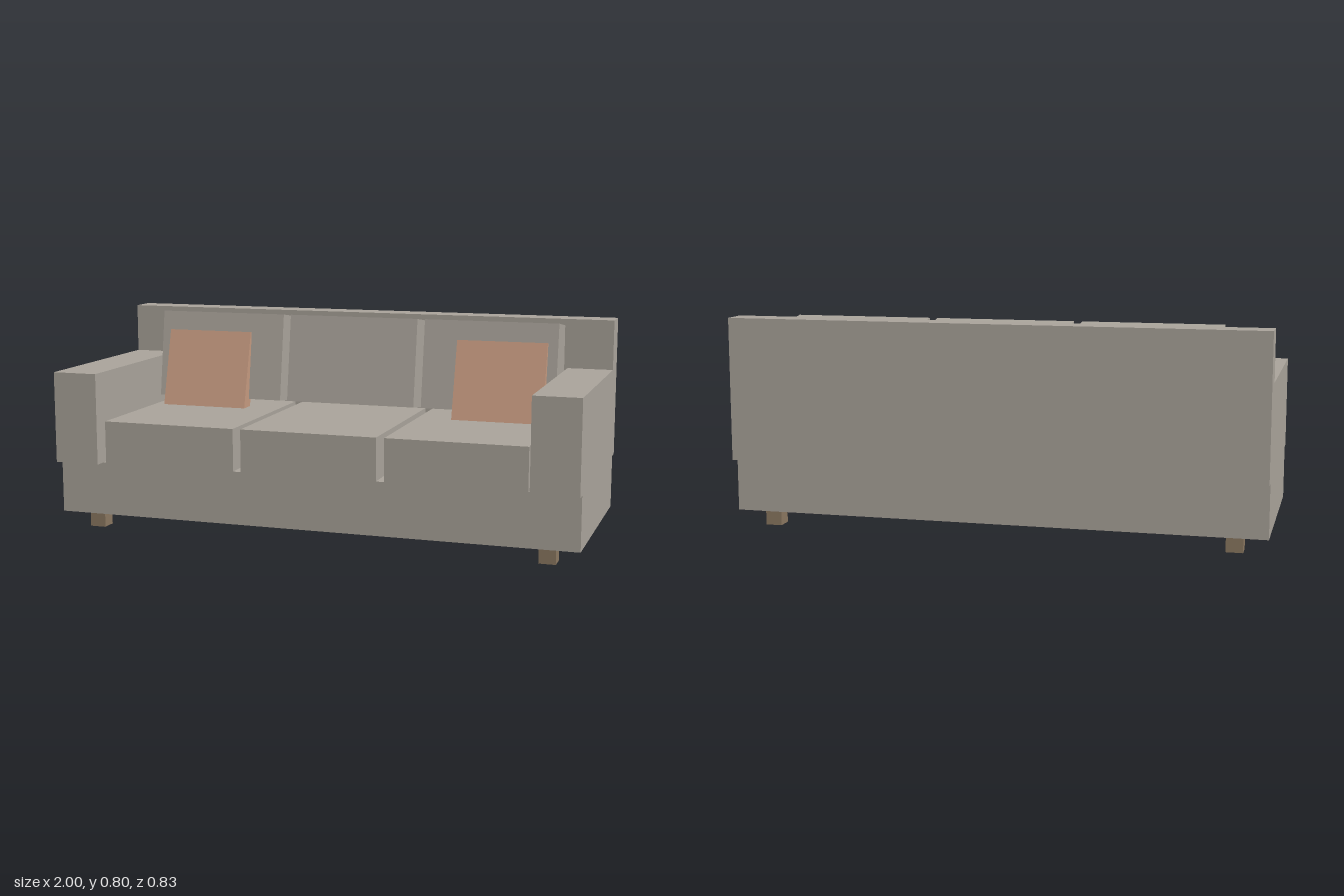
import * as THREE from 'three';

export function createModel() {
  const sofa = new THREE.Group();
  sofa.name = 'sofa';
  const mat = (name, color) => {
    const m = new THREE.MeshStandardMaterial({ color });
    m.name = name;
    return m;
  };
  const fabric = mat('greyFabric', 0xaaa49b);
  const terracotta = mat('terracottaFabric', 0xc69a80);
  const wood = mat('wood', 0x8b7861);

  // Box given by its [min, max] range on each axis
  function block(name, material, [x0, x1], [y0, y1], [z0, z1]) {
    const mesh = new THREE.Mesh(new THREE.BoxGeometry(x1 - x0, y1 - y0, z1 - z0), material);
    mesh.position.set((x0 + x1) / 2, (y0 + y1) / 2, (z0 + z1) / 2);
    mesh.name = name;
    sofa.add(mesh);
  }

  // Box leaning back, placed by the middle of its top front edge
  function leaningBlock(name, material, x, y, z, [w, h, d], angle) {
    const geo = new THREE.BoxGeometry(w, h, d).translate(0, -h / 2, -d / 2);
    const mesh = new THREE.Mesh(geo, material);
    mesh.position.set(x, y, z);
    mesh.rotation.x = -angle;
    mesh.name = name;
    sofa.add(mesh);
  }

  // Frame
  block('base', fabric, [-1, 1], [0.063, 0.264], [-0.37, 0.37]);
  block('backrest', fabric, [-1, 1], [0.264, 0.8], [-0.414, -0.31]);

  // Three seat cushions, each with a back cushion
  for (const i of [-1, 0, 1]) {
    const x = i * 0.552;
    block('seatCushion', fabric, [x - 0.261, x + 0.261], [0.264, 0.424], [-0.31, 0.37]);
    leaningBlock('backCushion', fabric, x, 0.795, -0.178, [0.522, 0.344, 0.17], 0.148);
  }

  // Mirrored arms, pillows and legs
  for (const s of [-1, 1]) {
    const side = s > 0 ? 'left' : 'right';
    const span = (a, b) => (s > 0 ? [a, b] : [-b, -a]);
    block(side + 'Arm', fabric, span(0.826, 1), [0.264, 0.61], [-0.31, 0.414]);
    leaningBlock(side + 'Pillow', terracotta, s * 0.6, 0.722, -0.156, [0.35, 0.34, 0.06], 0.262);
    block(side + 'FrontLeg', wood, span(0.846, 0.908), [0, 0.063], [0.266, 0.327]);
    block(side + 'BackLeg', wood, span(0.846, 0.908), [0, 0.063], [-0.327, -0.266]);
  }
  return sofa;
}
